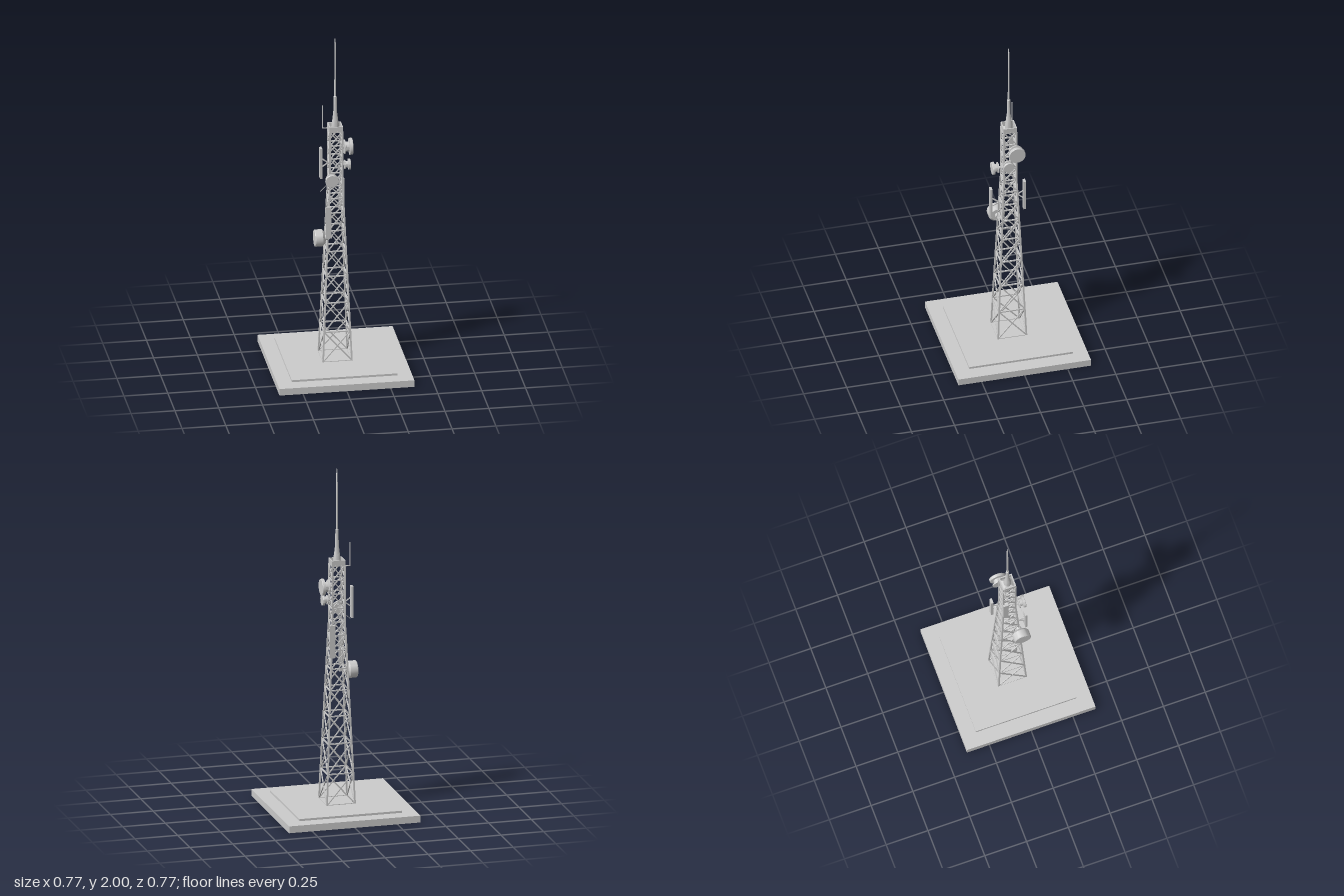
import * as THREE from 'three';
import { toCreasedNormals } from 'three/addons/utils/BufferGeometryUtils.js';

const V = (x, y, z) => new THREE.Vector3(x, y, z);
const UP = V(0, 1, 0);
const material = new THREE.MeshStandardMaterial({ color: 0xcccccc, side: THREE.DoubleSide });

function add(parent, name, geometry, x = 0, y = 0, z = 0) {
  const mesh = new THREE.Mesh(geometry, material);
  mesh.name = name;
  mesh.position.set(x, y, z);
  parent.add(mesh);
  return mesh;
}

function group(parent, name) {
  const g = new THREE.Group();
  g.name = name;
  parent.add(g);
  return g;
}

// Square bar between two points
function beam(parent, name, a, b, size) {
  const dir = b.clone().sub(a);
  const mid = a.clone().add(b).multiplyScalar(0.5);
  const bar = add(parent, name, new THREE.BoxGeometry(size, dir.length(), size), mid.x, mid.y, mid.z);
  bar.quaternion.setFromUnitVectors(UP, dir.normalize());
}

function lathe(points, segments = 28) {
  const geo = new THREE.LatheGeometry(points.map(p => new THREE.Vector2(...p)), segments);
  return toCreasedNormals(geo, 0.6);
}

// Drum dish: profile runs outward from the tower along dir
function dish(parent, name, origin, dir, profile) {
  const g = group(parent, name);
  g.position.copy(origin);
  g.quaternion.setFromUnitVectors(UP, dir);
  add(g, 'dishDrum', lathe(profile));
}

// Spool-shaped dish: back plate, narrow hub, wide front drum
function spool(r, depth) {
  return [[0, 0], [r * 0.2, 0], [r * 0.2, depth * 0.25], [r * 0.85, depth * 0.25],
    [r * 0.85, depth * 0.36], [r * 0.6, depth * 0.4], [r * 0.6, depth * 0.7],
    [r, depth * 0.72], [r, depth * 0.96], [r * 0.96, depth], [0, depth]];
}

// Panel antenna with a V bracket reaching back to the tower
function panel(parent, name, center, size, anchor) {
  const g = group(parent, name);
  add(g, 'panelBody', new THREE.BoxGeometry(size.x, size.y, size.z), center.x, center.y, center.z);
  for (const s of [-1, 1]) {
    beam(g, 'panelBracket', V(center.x, center.y + s * 0.03, center.z), anchor, 0.006);
  }
}

export function createModel() {
  const model = new THREE.Group();
  model.name = 'radioTower';

  // Foundation
  add(model, 'foundationSlab', new THREE.BoxGeometry(0.77, 0.04, 0.77), 0, 0.02, 0);
  add(model, 'foundationStep', new THREE.BoxGeometry(0.602, 0.012, 0.602), 0, 0.046, 0);

  // Lattice: tapers to the bend, then rises straight
  const tower = group(model, 'tower');
  tower.position.set(-0.004, 0, -0.005);
  const levels = [0.052, 0.23, 0.405, 0.565, 0.715, 0.84, 0.947, 1.033, 1.11, 1.19, 1.275, 1.355, 1.44];
  const half = y => (y < 1.11 ? THREE.MathUtils.mapLinear(y, 0.052, 1.11, 0.082, 0.037) : 0.036);
  const corner = (i, y) => {
    const h = half(y);
    return V(i === 0 || i === 3 ? h : -h, y, i < 2 ? h : -h);
  };
  for (let side = 0; side < 4; side++) {
    const next = (side + 1) % 4;
    levels.forEach((y, k) => {
      const a = corner(side, y), b = corner(next, y);
      beam(tower, 'crossbar', a, b, 0.007);
      if (k === levels.length - 1) return;
      const top = levels[k + 1];
      const c = corner(side, top), d = corner(next, top);
      beam(tower, 'leg', a, c, 0.009);
      beam(tower, 'diagonalBrace', a, d, 0.006);
      beam(tower, 'diagonalBrace', b, c, 0.006);
    });
  }

  // Head frame with sloped roof inside the rim
  const head = group(tower, 'head');
  for (const s of [-1, 1]) {
    add(head, 'headWall', new THREE.BoxGeometry(0.078, 0.032, 0.006), 0, 1.455, s * 0.036);
    add(head, 'headWall', new THREE.BoxGeometry(0.006, 0.032, 0.066), s * 0.036, 1.455, 0);
  }
  const roof = new THREE.ConeGeometry(0.0475, 0.028, 4, 1).toNonIndexed();
  roof.computeVertexNormals();
  add(head, 'headRoof', roof, 0, 1.454, 0).rotation.y = Math.PI / 4;

  // Mast
  add(tower, 'mast', lathe([[0, 1.445], [0.021, 1.445], [0.021, 1.475], [0.017, 1.5], [0.011, 1.55],
    [0.009, 1.645], [0.0055, 1.648], [0.005, 1.8], [0.0045, 1.975], [0.0025, 1.978], [0.0025, 2], [0, 2]], 16));

  // Dishes
  const X = V(1, 0, 0), Z = V(0, 0, 1);
  dish(model, 'upperDish', V(0.034, 1.32, -0.031), X, spool(0.048, 0.064));
  dish(model, 'smallDish', V(0.034, 1.23, 0.013), X, spool(0.031, 0.046));
  dish(model, 'frontDish', V(-0.036, 1.16, 0.034), Z, spool(0.037, 0.052));
  dish(model, 'lowerDish', V(-0.053, 0.802, 0.043), V(-1, 0, 0),
    [[0, 0], [0.015, 0], [0.015, 0.021], [0.036, 0.021], [0.045, 0.03], [0.049, 0.034],
      [0.049, 0.074], [0.046, 0.078], [0, 0.078]]);
  beam(model, 'frontDishStay', V(-0.1, 1.095, 0.06), V(-0.04, 1.15, 0.05), 0.003);
  beam(model, 'lowerDishArm', V(-0.06, 0.802, 0.043), V(-0.03, 0.802, 0.043), 0.012);

  // Panel antennas
  panel(model, 'sidePanel', V(-0.08, 1.225, -0.042), V(0.013, 0.185, 0.03), V(-0.04, 1.225, -0.038));
  panel(model, 'backPanel', V(0.045, 1.01, -0.083), V(0.03, 0.19, 0.015), V(0.036, 1.01, -0.046));
  panel(model, 'frontPanel', V(-0.056, 0.912, 0.085), V(0.03, 0.188, 0.013), V(-0.046, 0.912, 0.04));

  // Whip antenna
  add(model, 'whipAntenna', new THREE.CylinderGeometry(0.003, 0.003, 0.14, 8), -0.07, 1.505, -0.042);
  beam(model, 'whipArm', V(-0.073, 1.438, -0.042), V(-0.036, 1.438, -0.042), 0.005);

  return model;
}
